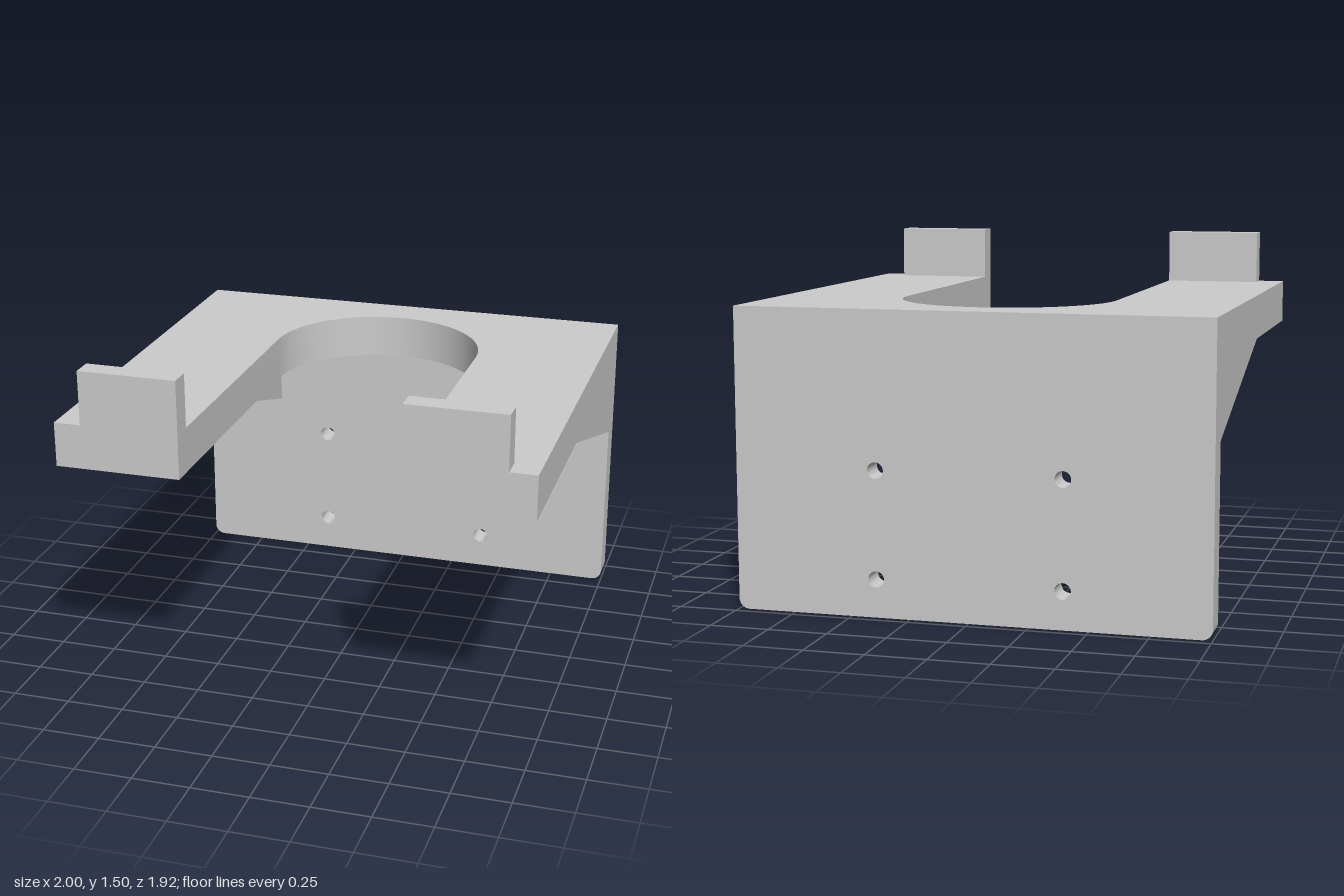
import * as THREE from 'three';
import { toCreasedNormals } from 'three/addons/utils/BufferGeometryUtils.js';

const material = new THREE.MeshStandardMaterial({ color: 0xcccccc });

const BACK = -0.96, FRONT = 0.96;      // depth extents
const WALL_FRONT = -0.84;              // front face of the wall plate
const SLAB_BOTTOM = 1.08, SLAB_TOP = 1.27;

function extrude(shape, depth) {
  const geometry = new THREE.ExtrudeGeometry(shape, { depth, bevelEnabled: false, curveSegments: 32 });
  return toCreasedNormals(geometry, 0.5);
}

function addMesh(group, name, geometry, x = 0, y = 0, z = 0) {
  const mesh = new THREE.Mesh(geometry, material);
  mesh.name = name;
  mesh.position.set(x, y, z);
  group.add(mesh);
}

export function createModel() {
  const group = new THREE.Group();
  group.name = 'wallBracket';

  // Wall plate with rounded bottom corners and four screw holes
  const r = 0.045;
  const wall = new THREE.Shape();
  wall.moveTo(-1, SLAB_BOTTOM);
  wall.lineTo(-1, r);
  wall.absarc(-1 + r, r, r, Math.PI, 1.5 * Math.PI, false);
  wall.lineTo(1 - r, 0);
  wall.absarc(1 - r, r, r, 1.5 * Math.PI, 2 * Math.PI, false);
  wall.lineTo(1, SLAB_BOTTOM);
  for (const x of [-0.393, 0.393]) {
    for (const y of [0.16, 0.613]) {
      wall.holes.push(new THREE.Path().absarc(x, y, 0.034, 0, 2 * Math.PI, true));
    }
  }
  addMesh(group, 'wallPlate', extrude(wall, WALL_FRONT - BACK), 0, 0, BACK);

  // Horizontal slab with an arched cut-out, leaving two arms (shape y is -z)
  const archRadius = 0.463, archCentre = 0.31;
  const slab = new THREE.Shape();
  slab.moveTo(1, -FRONT);
  slab.lineTo(1, -BACK);
  slab.lineTo(-1, -BACK);
  slab.lineTo(-1, -FRONT);
  slab.lineTo(-archRadius, -FRONT);
  slab.lineTo(-archRadius, archCentre);
  slab.absarc(0, archCentre, archRadius, Math.PI, 0, true);
  slab.lineTo(archRadius, -FRONT);
  addMesh(group, 'forkedSlab', extrude(slab, SLAB_TOP - SLAB_BOTTOM).rotateX(-Math.PI / 2), 0, SLAB_BOTTOM, 0);

  // Triangular ribs under the arms (shape x is z, extruded towards -x)
  const rib = new THREE.Shape([
    new THREE.Vector2(WALL_FRONT, 0.775),
    new THREE.Vector2(0.11, SLAB_BOTTOM),
    new THREE.Vector2(WALL_FRONT, SLAB_BOTTOM),
  ]);
  const ribWidth = 0.078;
  const ribGeometry = extrude(rib, ribWidth).rotateY(-Math.PI / 2);

  // Retaining tab at the front end of each arm
  const tabWidth = 0.885 - archRadius, tabHeight = 1.503 - SLAB_TOP, tabDepth = 0.095;
  const tabGeometry = new THREE.BoxGeometry(tabWidth, tabHeight, tabDepth);

  for (const [side, sign] of [['left', 1], ['right', -1]]) {
    for (const [place, centre] of [['Outer', 1 - ribWidth / 2], ['Inner', 0.67]]) {
      addMesh(group, `${side}${place}Rib`, ribGeometry, sign * centre + ribWidth / 2);
    }
    addMesh(group, `${side}Tab`, tabGeometry,
      sign * (archRadius + tabWidth / 2), SLAB_TOP + tabHeight / 2, FRONT - tabDepth / 2);
  }
  return group;
}
